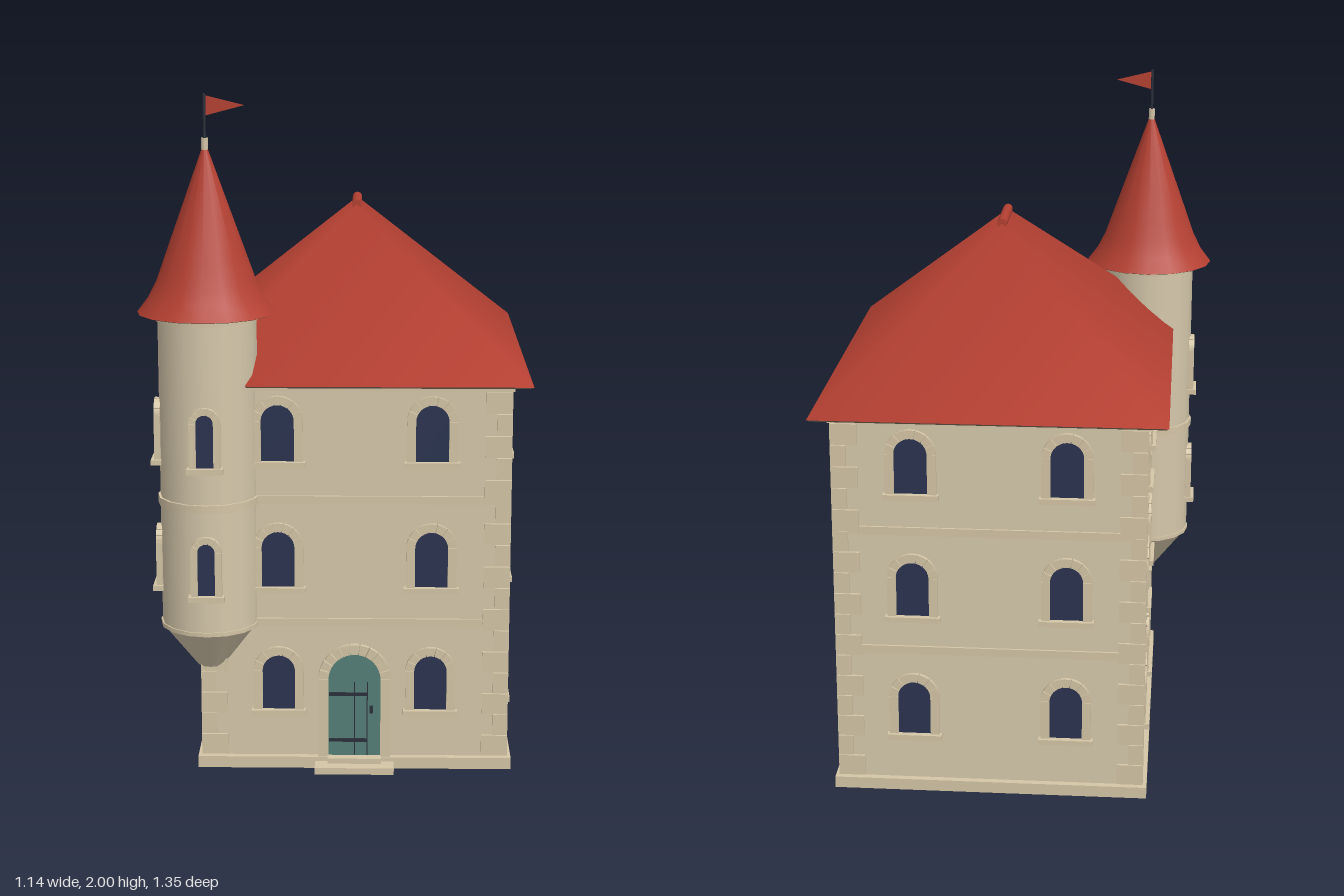
import * as THREE from 'three';

const mat = (name, color, side = THREE.FrontSide) => {
  const m = new THREE.MeshStandardMaterial({ color, side });
  m.name = name;
  return m;
};

export function createModel() {
  const stone = mat('wallStone', 0xd6c8ab);
  const trim = mat('trimStone', 0xd4c5a6);
  const tile = mat('roofTile', 0xb54032, THREE.DoubleSide);
  const wood = mat('darkTimber', 0x54443a);
  const glass = mat('windowGlass', 0x2a3350);
  const teal = mat('doorPaint', 0x547f77);
  const iron = mat('iron', 0x2b303a);

  const root = new THREE.Group();
  root.name = 'turretHouse';
  const add = (parent, name, geo, material, x = 0, y = 0, z = 0) => {
    const m = new THREE.Mesh(geo, material);
    m.name = name;
    m.position.set(x, y, z);
    parent.add(m);
    return m;
  };
  const box = (parent, name, material, w, h, d, x, y, z) =>
    add(parent, name, new THREE.BoxGeometry(w, h, d), material, x, y, z);

  // House frame: centre and half sizes of the walls
  const CX = 0.057, CZ = -0.06, HX = 0.447, HZ = 0.555, EAVE = 1.175, FLOOR = 0.025;
  const house = new THREE.Group();
  house.name = 'house';
  house.position.set(CX, 0, CZ);
  root.add(house);

  box(house, 'walls', stone, 2 * HX, EAVE - FLOOR, 2 * HZ, 0, (EAVE + FLOOR) / 2, 0);
  const band = (name, y, h, out) =>
    box(house, name, trim, 2 * (HX + out), h, 2 * (HZ + out), 0, y, 0);
  band('lowerStringCourse', 0.452, 0.024, 0.007);
  band('upperStringCourse', 0.826, 0.024, 0.007);
  band('cornice', 1.162, 0.018, 0.014);

  // Plinth frame around the foot of the walls
  for (const s of [-1, 1]) {
    box(house, 'plinth', trim, 2 * HX + 0.04, 0.035, 0.025, 0, 0.0175, s * (HZ + 0.0075));
    box(house, 'plinth', trim, 0.025, 0.035, 2 * HZ - 0.01, s * (HX + 0.0075), 0.0175, 0);
  }

  // Corner stones, long and short in turn
  for (const sx of [-1, 1]) for (const sz of [-1, 1]) {
    const corner = new THREE.Group();
    corner.name = 'cornerStones';
    house.add(corner);
    for (let i = 0; i < 17; i++) {
      const a = i % 2 ? 0.045 : 0.078, b = i % 2 ? 0.078 : 0.045;
      box(corner, 'cornerStone', trim, a, 0.063, b,
        sx * (HX + 0.009 - a / 2), 0.07 + i * 0.0655, sz * (HZ + 0.009 - b / 2));
    }
  }

  // Hipped roof with softly blended slopes
  const ex = 0.512, ez = 0.616, rz = 0.105, top = 1.635;
  const corners = [-ex, EAVE, ez, ex, EAVE, ez, ex, EAVE, -ez, -ex, EAVE, -ez, 0, top, rz, 0, top, -rz];
  const roofGeo = new THREE.BufferGeometry();
  roofGeo.setAttribute('position', new THREE.Float32BufferAttribute(corners, 3));
  roofGeo.setIndex([0, 1, 4, 2, 3, 5, 1, 2, 5, 1, 5, 4, 3, 0, 4, 3, 4, 5]);
  roofGeo.computeVertexNormals();
  add(house, 'hippedRoof', roofGeo, tile);
  box(house, 'soffit', wood, 2 * ex - 0.01, 0.006, 2 * ez - 0.01, 0, EAVE - 0.002, 0);
  const ridge = add(house, 'ridgeTiles', new THREE.CylinderGeometry(0.015, 0.015, 0.21, 10), tile, 0, top, 0);
  ridge.rotation.x = Math.PI / 2;

  // Arched plate: half width r, straight height s
  const archShape = (r, s) => {
    const p = new THREE.Shape();
    p.moveTo(-r, 0);
    p.lineTo(r, 0);
    p.lineTo(r, s);
    p.absarc(0, s, r, 0, Math.PI, false);
    p.closePath();
    return p;
  };
  const extrude = (shape, depth) =>
    new THREE.ExtrudeGeometry(shape, { depth, bevelEnabled: false, curveSegments: 14 });

  // Arched surround facing +z: jambs plus separate arch stones
  const surround = (g, r, s, w, depth, stones) => {
    for (const sx of [-1, 1]) box(g, 'jamb', trim, w, s, depth, sx * (r + w / 2), s / 2, depth / 2 - 0.006);
    const step = Math.PI / stones, gap = 0.015;
    for (let i = 0; i < stones; i++) {
      const p = new THREE.Shape(), a = i * step + gap, b = (i + 1) * step - gap;
      p.absarc(0, s, r + w, a, b, false);
      p.absarc(0, s, r, b, a, true);
      p.closePath();
      const geo = new THREE.ExtrudeGeometry(p, { depth, bevelEnabled: false, curveSegments: 3 });
      add(g, 'archStone', geo, trim, 0, 0, -0.006);
    }
  };
  const makeWindow = (parent, x, y, z, turn, r = 0.048, s = 0.122, w = 0.026) => {
    const g = new THREE.Group();
    g.name = 'archedWindow';
    g.position.set(x, y, z);
    g.rotation.y = turn;
    parent.add(g);
    add(g, 'pane', extrude(archShape(r, s), 0.007), glass, 0, 0, -0.003);
    surround(g, r, s, w, 0.018, 7);
    box(g, 'sill', trim, 2 * (r + w) + 0.014, 0.016, 0.03, 0, -0.006, 0.007);
  };

  // House windows on three floors
  [0.18, 0.56, 0.94].forEach((y) => {
    for (const x of [-0.225, 0.225]) {
      makeWindow(house, x, y, HZ, 0);
      makeWindow(house, x, y, -HZ, Math.PI);
    }
    for (const z of [-0.37, 0, 0.37]) {
      makeWindow(house, HX, y, z, Math.PI / 2);
      if (z < 0.3) makeWindow(house, -HX, y, z, -Math.PI / 2);
    }
  });

  // Front door with iron fittings and steps
  const door = new THREE.Group();
  door.name = 'door';
  door.position.set(0, 0.035, HZ);
  house.add(door);
  add(door, 'doorLeaf', extrude(archShape(0.077, 0.243), 0.007), teal);
  surround(door, 0.077, 0.243, 0.03, 0.022, 11);
  for (const y of [0.05, 0.195]) box(door, 'hingeStrap', iron, 0.115, 0.01, 0.006, -0.019, y, 0.008);
  for (const x of [0, 0.038]) box(door, 'plankSeam', iron, 0.003, 0.23, 0.003, x, 0.118, 0.007);
  box(door, 'handle', iron, 0.01, 0.022, 0.012, 0.05, 0.148, 0.01);
  box(house, 'lowerStep', trim, 0.235, 0.02, 0.055, 0, 0.012, HZ + 0.0475);
  box(house, 'upperStep', trim, 0.16, 0.016, 0.03, 0, 0.03, HZ + 0.025);

  // Corner turret
  const turret = new THREE.Group();
  turret.name = 'turret';
  turret.position.set(-0.37, 0, 0.47);
  root.add(turret);
  const drum = (name, material, r1, r0, y0, y1, n = 16) =>
    add(turret, name, new THREE.CylinderGeometry(r1, r0, y1 - y0, n), material, 0, (y0 + y1) / 2, 0);
  drum('corbel', stone, 0.145, 0.04, 0.315, 0.45);
  drum('shaft', stone, 0.143, 0.143, 0.45, 1.38);
  drum('lowerRing', trim, 0.147, 0.147, 0.443, 0.455);
  drum('middleRing', trim, 0.15, 0.15, 0.814, 0.838);
  drum('topRing', trim, 0.15, 0.15, 1.357, 1.378);
  for (const y of [0.567, 0.947]) {
    makeWindow(turret, 0, y, 0.143, 0, 0.025, 0.133, 0.02);
    makeWindow(turret, -0.143, y, 0, -Math.PI / 2, 0.025, 0.133, 0.02);
  }

  // Flared conical roof
  const cone = [[0.2, 1.378], [0.168, 1.42], [0.143, 1.47], [0.118, 1.54], [0.006, 1.852]];
  add(turret, 'coneRoof', new THREE.LatheGeometry(cone.map(p => new THREE.Vector2(...p)), 16), tile);
  drum('coneSoffit', wood, 0.196, 0.196, 1.376, 1.38);
  drum('finial', trim, 0.01, 0.01, 1.842, 1.875, 10);
  drum('flagPole', iron, 0.004, 0.004, 1.87, 2.0, 8);
  const pennant = new THREE.Shape([[0, 1.995], [0, 1.937], [0.114, 1.967]].map(p => new THREE.Vector2(...p)));
  add(turret, 'pennant', new THREE.ShapeGeometry(pennant), tile);

  return root;
}
